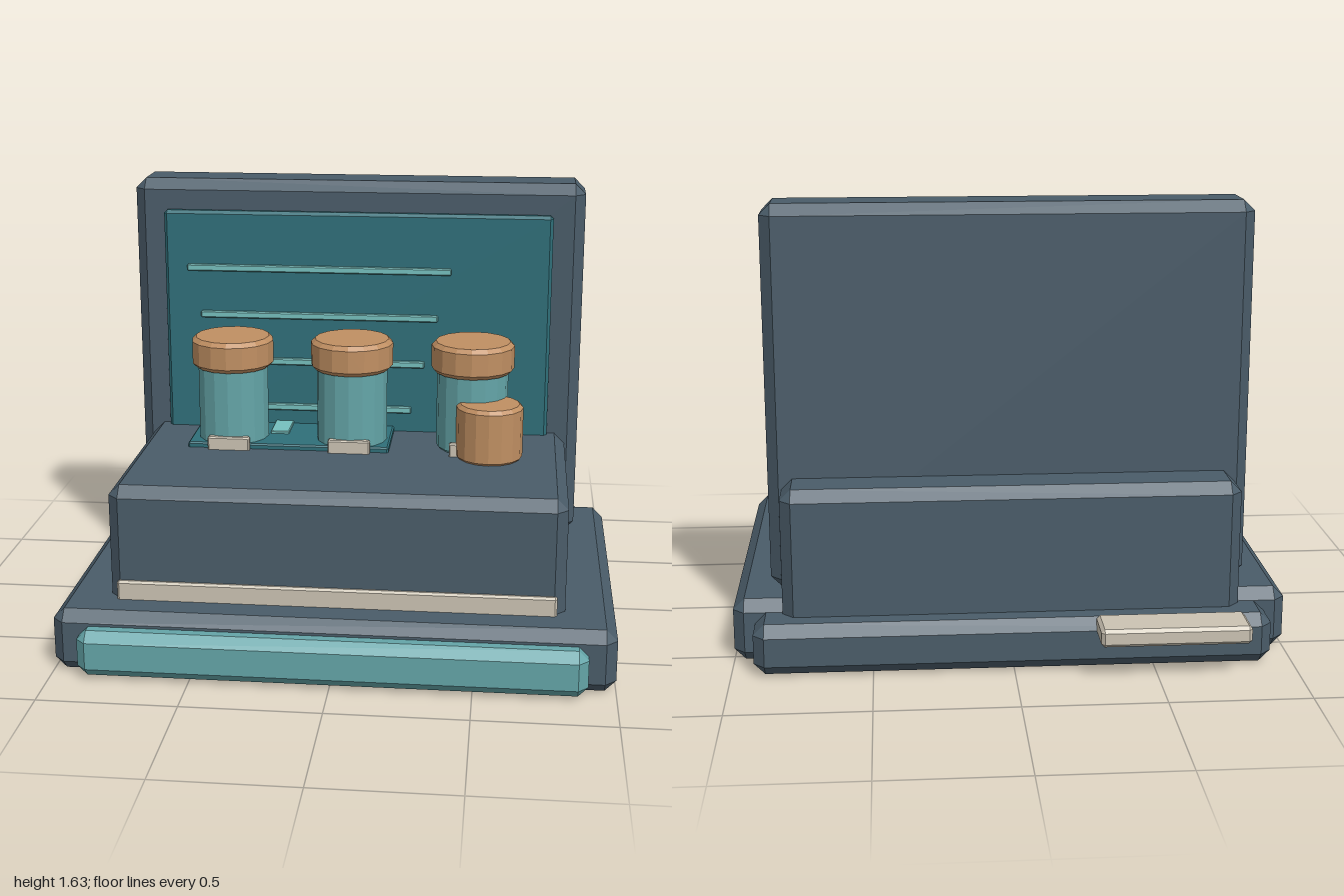
import * as THREE from 'three';
import { ConvexGeometry } from 'three/addons/geometries/ConvexGeometry.js';

const COLORS = {
  slate: 0x4a5c69, panel: 0x2f6f79, teal: 0x64a5a8, line: 0x76c0be, copper: 0xc08f62, cream: 0xcbc3b3,
};

export function createModel() {
  const model = new THREE.Group();

  const materials = {};
  for (const [key, color] of Object.entries(COLORS)) {
    materials[key] = new THREE.MeshStandardMaterial({ color, flatShading: true });
  }

  function add(name, geometry, color, parent = model) {
    const mesh = new THREE.Mesh(geometry, materials[color]);
    mesh.name = name;
    parent.add(mesh);
    return mesh;
  }

  // Box with chamfered edges and corners, given by its extents
  function block(name, color, [x0, x1], [y0, y1], [z0, z1], bevel, parent) {
    const half = new THREE.Vector3(x1 - x0, y1 - y0, z1 - z0).multiplyScalar(0.5);
    const points = [];
    for (const sx of [-1, 1]) for (const sy of [-1, 1]) for (const sz of [-1, 1]) {
      for (const axis of ['x', 'y', 'z']) {
        const p = half.clone().subScalar(bevel);
        p[axis] = half[axis];
        points.push(p.multiply(new THREE.Vector3(sx, sy, sz)));
      }
    }
    const mesh = add(name, new ConvexGeometry(points), color, parent);
    mesh.position.set((x0 + x1) / 2, (y0 + y1) / 2, (z0 + z1) / 2);
    return mesh;
  }

  // Closed drum with chamfered rims
  function drum(name, color, radius, y0, y1, bevel, parent) {
    const profile = [
      [0, y0], [radius - bevel, y0], [radius, y0 + bevel],
      [radius, y1 - bevel], [radius - bevel, y1], [0, y1],
    ].map(([r, y]) => new THREE.Vector2(r, y));
    return add(name, new THREE.LatheGeometry(profile, 16), color, parent);
  }

  // Stepped base, console and upright board
  block('base', 'slate', [-1, 1], [0, 0.23], [-0.56, 0.77], 0.04);
  block('rearBase', 'slate', [-0.92, 0.92], [0.005, 0.19], [-0.715, -0.3], 0.04);
  block('consoleBody', 'slate', [-0.82, 0.82], [0.15, 0.65], [-0.615, 0.62], 0.04);
  block('backBoard', 'slate', [-0.87, 0.87], [0.23, 1.63], [-0.44, -0.2], 0.04);

  // Trim pieces
  block('frontBumper', 'teal', [-0.9, 0.9], [0.01, 0.18], [0.66, 0.84], 0.035);
  block('frontStrip', 'cream', [-0.79, 0.79], [0.22, 0.3], [0.6, 0.635], 0.008);
  block('rearTab', 'cream', [-0.82, -0.29], [0.135, 0.2], [-0.84, -0.68], 0.012);

  // Screen with lines that shorten downwards
  block('screen', 'panel', [-0.75, 0.75], [0.56, 1.515], [-0.205, -0.165], 0.012);
  for (let i = 0; i < 4; i++) {
    const y = 1.295 - i * 0.185;
    const inset = i * 0.05;
    block('screenLine', 'line', [-0.66 + inset, 0.367 - inset], [y - 0.013, y + 0.013], [-0.168, -0.148], 0.004);
  }

  // Thin tray with two light marks
  block('tray', 'panel', [-0.62, 0.15], [0.64, 0.67], [-0.19, 0.12], 0.006);
  for (const x of [-0.285, -0.075]) {
    block('trayMark', 'line', [x - 0.036, x + 0.036], [0.665, 0.68], [-0.17, 0.02 - 0.04], 0.003);
  }

  // Row of capped jars, each with a small label block
  for (const x of [-0.46, 0, 0.46]) {
    const jar = new THREE.Group();
    jar.name = 'jar';
    jar.position.x = x;
    drum('jarBody', 'teal', 0.135, 0.645, 0.965, 0.015, jar);
    drum('jarCap', 'copper', 0.157, 0.95, 1.067, 0.016, jar);
    block('jarLabel', 'cream', [-0.08, 0.08], [0.645, 0.7], [0.115, 0.145], 0.005, jar);
    model.add(jar);
  }

  // Loose lid beside the right-hand jar
  drum('looseLid', 'copper', 0.125, 0.645, 0.86, 0.014).position.set(0.53, 0, 0.125);

  return model;
}
